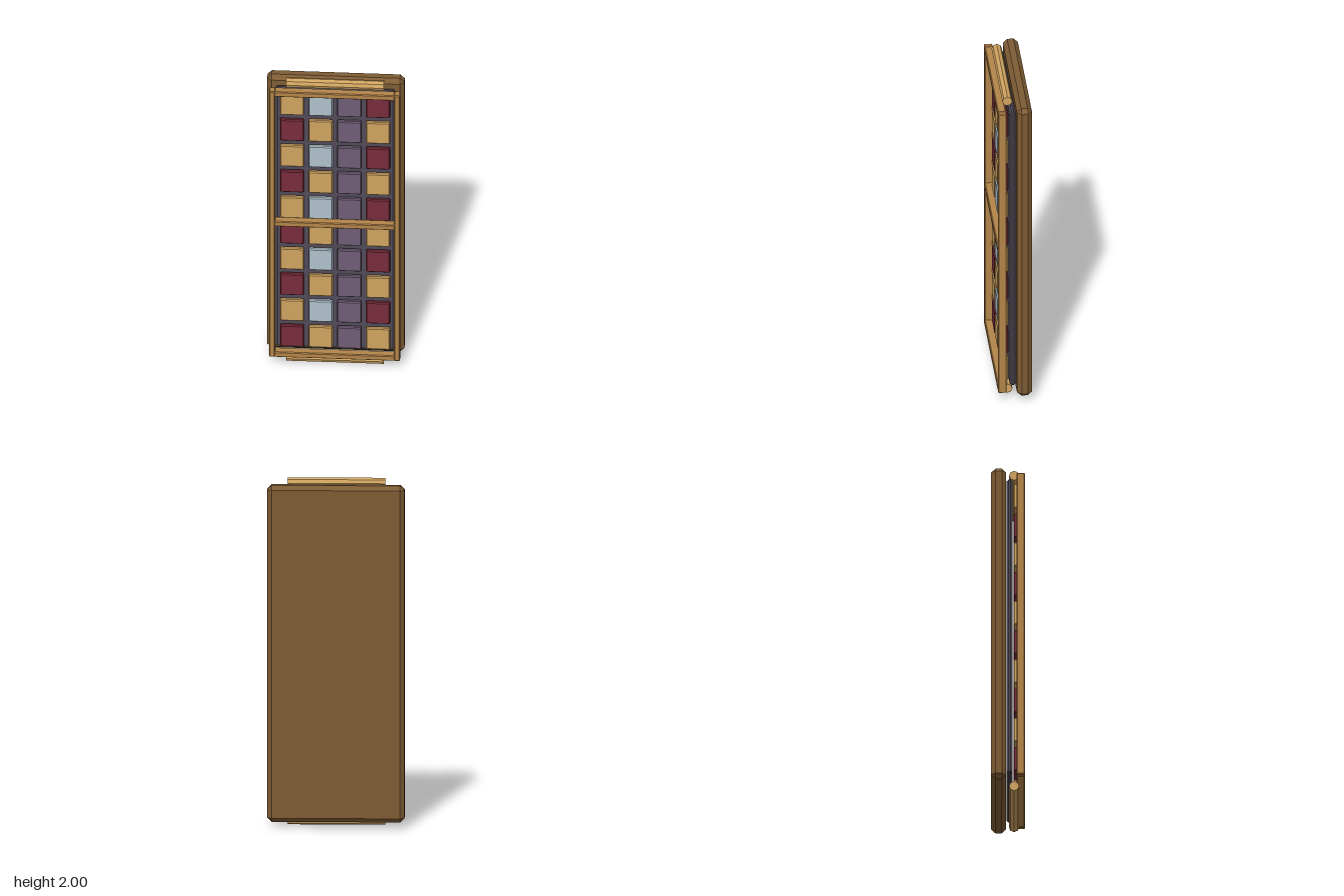
import * as THREE from 'three';
import { ConvexGeometry } from 'three/addons/geometries/ConvexGeometry.js';

const mat = (name, color) => {
  const m = new THREE.MeshStandardMaterial({ color });
  m.name = name;
  return m;
};

// Box with all edges chamfered by b
function chamferBox(w, h, d, b) {
  const pts = [];
  const [x, y, z] = [w / 2, h / 2, d / 2];
  for (const i of [-1, 1]) for (const j of [-1, 1]) for (const k of [-1, 1]) {
    pts.push(
      new THREE.Vector3(i * x, j * (y - b), k * (z - b)),
      new THREE.Vector3(i * (x - b), j * y, k * (z - b)),
      new THREE.Vector3(i * (x - b), j * (y - b), k * z)
    );
  }
  return new ConvexGeometry(pts);
}

export function createModel() {
  const darkWood = mat('dark wood', 0x7e5c34);
  const wood = mat('frame wood', 0xb4854a);
  const gold = mat('gold', 0xd0a460);
  const slate = mat('slate', 0x504b57);
  const red = mat('wine red', 0x782c3b);
  const blue = mat('pale blue', 0xb0c2cb);
  const purple = mat('dusty purple', 0x705d76);

  const model = new THREE.Group();
  model.name = 'tiledPanel';
  const add = (parent, name, geo, material, x, y, z) => {
    const mesh = new THREE.Mesh(geo, material);
    mesh.name = name;
    mesh.position.set(x, y, z);
    parent.add(mesh);
    return mesh;
  };
  const group = (name) => {
    const g = new THREE.Group();
    g.name = name;
    model.add(g);
    return g;
  };

  // Thick backboard and the thinner panel that carries the tiles
  add(model, 'backboard', chamferBox(0.78, 1.94, 0.086, 0.025), darkWood, 0, 1.003, -0.055);
  add(model, 'tilePanel', chamferBox(0.68, 1.84, 0.035, 0.012), slate, 0, 1.003, 0.0075);

  // Tiles: ten rows alternating between two colour patterns
  const tiles = group('tiles');
  const tileGeo = chamferBox(0.138, 0.15, 0.026, 0.006);
  const patterns = [[gold, blue, purple, red], [red, gold, purple, gold]];
  for (let r = 0; r < 10; r++) {
    for (let c = 0; c < 4; c++) {
      add(tiles, 'tile', tileGeo, patterns[r % 2][c], (c - 1.5) * 0.163, 1.828 - r * 0.1827, 0.043);
    }
  }

  // Front frame with a middle rail
  const frame = group('frame');
  const stileGeo = chamferBox(0.034, 1.885, 0.048, 0.005);
  const railGeo = chamferBox(0.684, 0.036, 0.048, 0.005);
  for (const s of [-1, 1]) add(frame, 'stile', stileGeo, wood, s * 0.355, 1.003, 0.071);
  for (const y of [0.079, 1.007, 1.927]) add(frame, 'rail', railGeo, wood, 0, y, 0.071);

  // Rods above and below
  const rodGeo = new THREE.CylinderGeometry(0.029, 0.029, 0.556, 8).toNonIndexed();
  rodGeo.computeVertexNormals();
  for (const y of [0.029, 1.971]) {
    add(model, 'rod', rodGeo, gold, 0, y, 0.033).rotation.z = Math.PI / 2;
  }
  return model;
}
